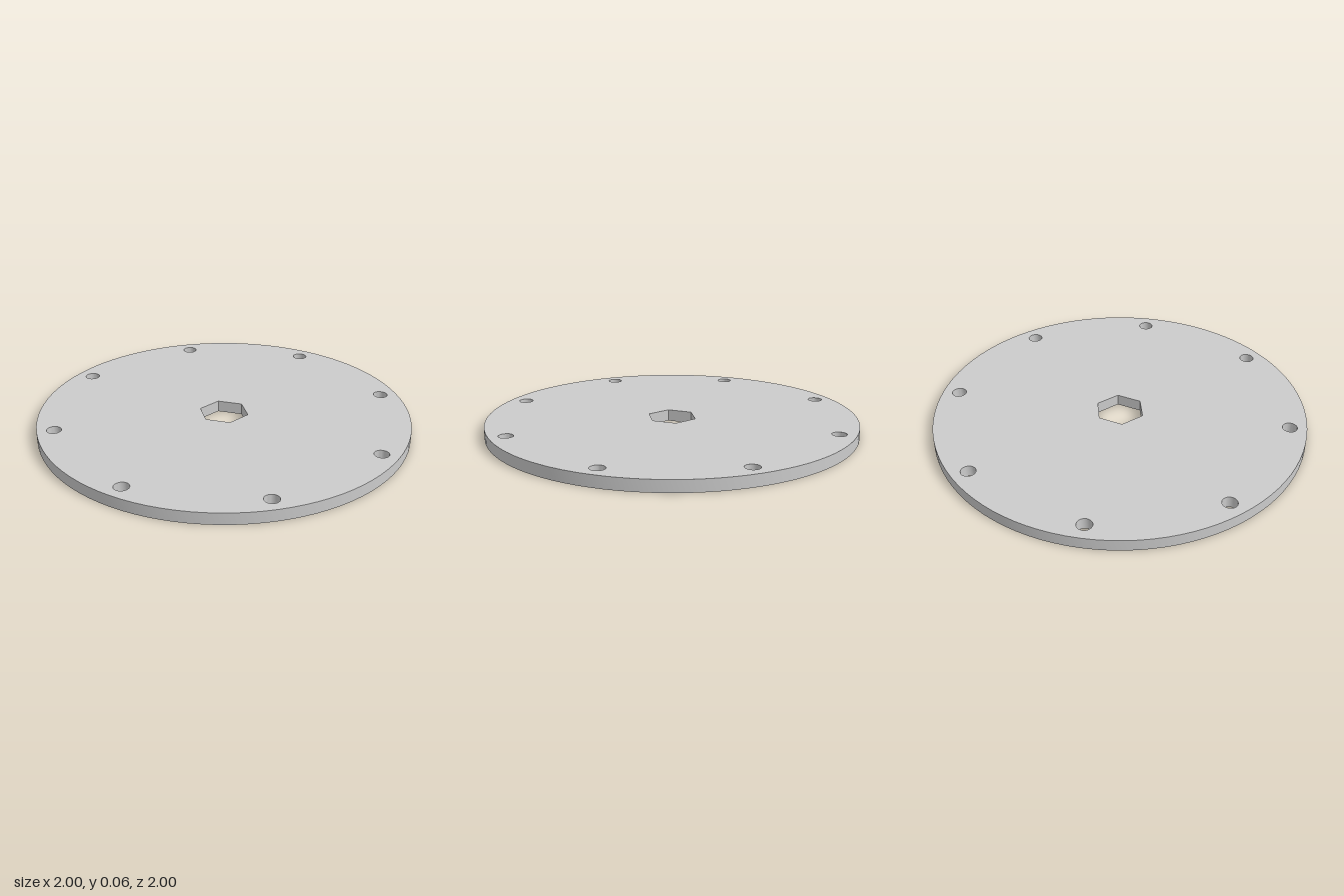
import * as THREE from 'three';
import { toCreasedNormals } from 'three/addons/utils/BufferGeometryUtils.js';

const THICKNESS = 0.062;
const BOLT_CIRCLE = 0.91;
const BOLT_HOLES = 8;

// Points of a regular polygon; many sides make a circle
function ring(radius, sides, cx = 0, cy = 0, start = 0) {
  return Array.from({ length: sides }, (_, i) => {
    const a = start + (i / sides) * Math.PI * 2;
    return new THREE.Vector2(cx + radius * Math.cos(a), cy + radius * Math.sin(a));
  });
}

export function createModel() {
  const group = new THREE.Group();
  group.name = 'drilledDisc';

  // Disc outline
  const outline = new THREE.Shape(ring(1, 96));

  // Hexagonal shaft hole with corners pointing along z
  outline.holes.push(new THREE.Path(ring(0.134, 6, 0, 0, Math.PI / 2)));

  // Round bolt holes near the rim
  for (let i = 0; i < BOLT_HOLES; i++) {
    const a = (i / BOLT_HOLES) * Math.PI * 2;
    outline.holes.push(
      new THREE.Path(ring(0.039, 32, BOLT_CIRCLE * Math.cos(a), BOLT_CIRCLE * Math.sin(a)))
    );
  }

  // Flat plate lying on the ground, round walls smooth and edges sharp
  const plate = new THREE.ExtrudeGeometry(outline, { depth: THICKNESS, bevelEnabled: false });
  plate.rotateX(-Math.PI / 2);
  const disc = new THREE.Mesh(
    toCreasedNormals(plate, Math.PI / 6),
    new THREE.MeshStandardMaterial({ color: 0xcccccc })
  );
  disc.name = 'disc';
  group.add(disc);

  return group;
}
